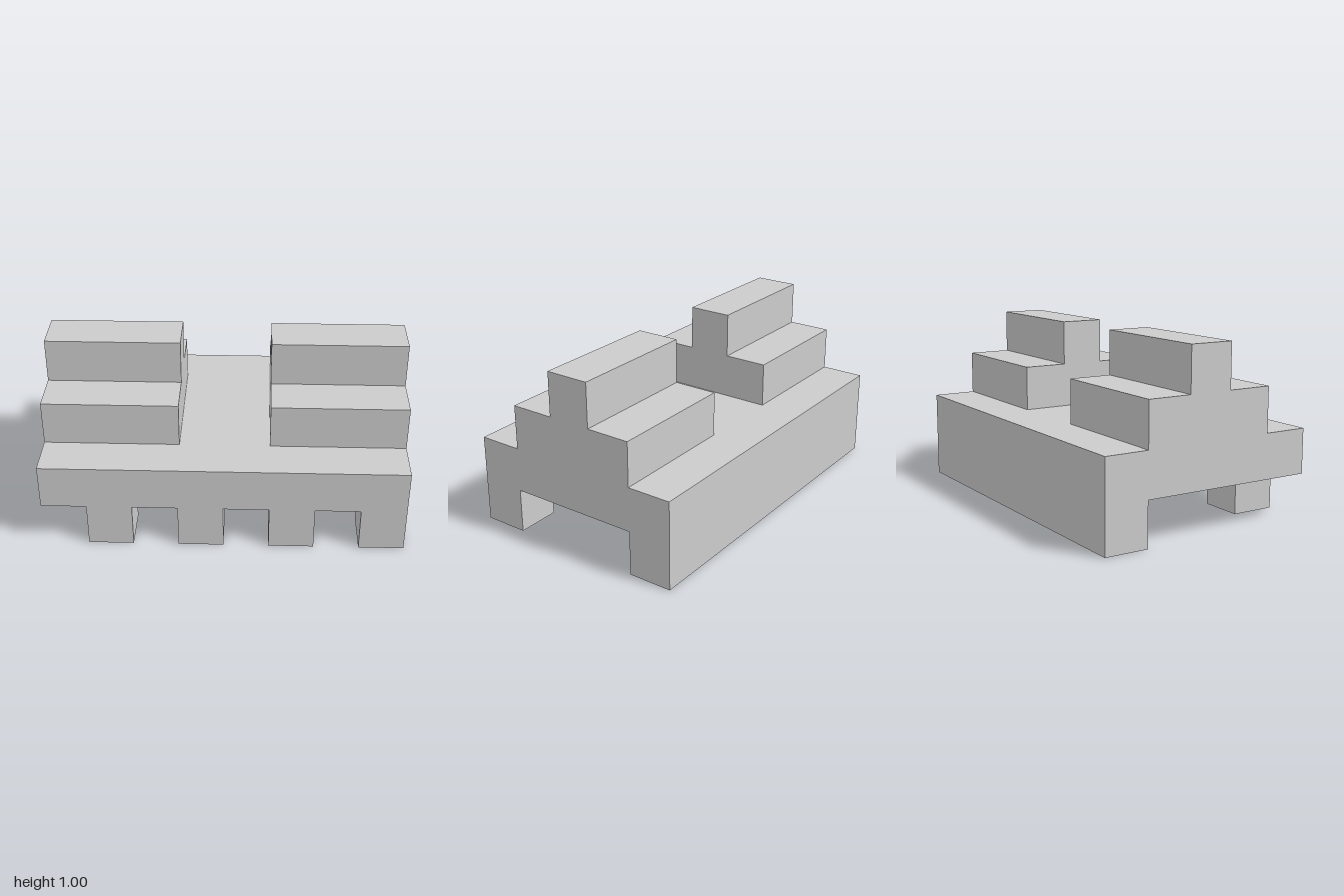
import * as THREE from 'three';

const material = new THREE.MeshStandardMaterial({ color: 0xcccccc, flatShading: true });

// Extrudes a side profile of [z, y] points along x, centred on the given x.
function profileMesh(name, points, width, x) {
  const shape = new THREE.Shape(points.map(([z, y]) => new THREE.Vector2(z, y)));
  const geometry = new THREE.ExtrudeGeometry(shape, { depth: width, bevelEnabled: false });
  geometry.translate(0, 0, -width / 2);
  geometry.rotateY(-Math.PI / 2);
  const mesh = new THREE.Mesh(geometry, material);
  mesh.name = name;
  mesh.position.x = x;
  return mesh;
}

export function createModel() {
  const group = new THREE.Group();
  group.name = 'steppedBlock';

  // Flat deck with a full-length wall hanging down at the back
  group.add(profileMesh('deckAndBackWall', [
    [-0.625, 0], [-0.375, 0], [-0.375, 0.25], [0.625, 0.25], [0.625, 0.5], [-0.625, 0.5],
  ], 2, 0));

  // Two stepped blocks on the deck, separated by a central gap
  const steps = [
    [-0.375, 0.5], [0.375, 0.5], [0.375, 0.75], [0.125, 0.75],
    [0.125, 1], [-0.125, 1], [-0.125, 0.75], [-0.375, 0.75],
  ];
  for (const side of [1, -1]) {
    group.add(profileMesh(side > 0 ? 'leftSteps' : 'rightSteps', steps, 0.75, side * 0.625));
  }

  // Row of four square feet along the front edge
  const footGeometry = new THREE.BoxGeometry(0.25, 0.25, 0.25);
  for (let i = 0; i < 4; i++) {
    const foot = new THREE.Mesh(footGeometry, material);
    foot.name = `frontFoot${i + 1}`;
    foot.position.set(-0.625 + i * 0.5, 0.125, 0.5);
    group.add(foot);
  }

  return group;
}
